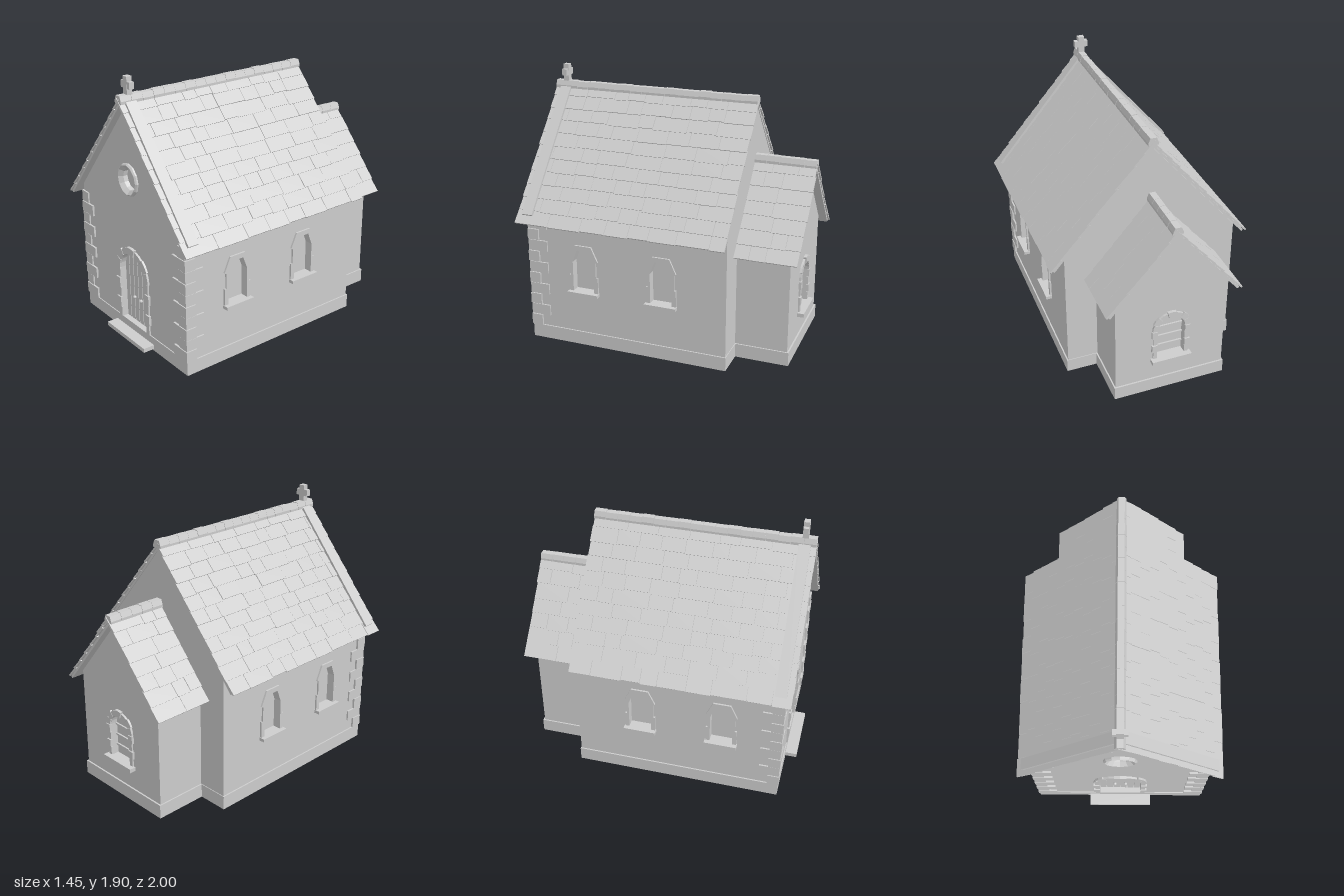
import * as THREE from 'three';
import { mergeGeometries } from 'three/addons/utils/BufferGeometryUtils.js';

const stone = new THREE.MeshStandardMaterial({ color: 0xcccccc });
stone.name = 'pale stone';

const SLOPE = Math.atan(1.18), C = Math.cos(SLOPE), S = Math.sin(SLOPE);
const THICK = 0.07;

let seed = 7;
const rand = () => (seed = (seed * 16807) % 2147483647) / 2147483647;

const toShape = (pts) => new THREE.Shape(pts.map(([x, y]) => new THREE.Vector2(x, y)));
const mirrorX = (pts) => [...pts, ...pts.map(([x, y]) => [-x, y]).reverse()];

function add(parent, name, geometry) {
  const mesh = new THREE.Mesh(geometry, stone);
  mesh.name = name;
  parent.add(mesh);
  return mesh;
}

// Box given by its limits on each axis
function box(x0, x1, y0, y1, z0, z1) {
  return new THREE.BoxGeometry(x1 - x0, y1 - y0, z1 - z0)
    .translate((x0 + x1) / 2, (y0 + y1) / 2, (z0 + z1) / 2);
}

// Flat outline with holes, extruded from z0 to z1
function slab(pts, z0, z1, holes = []) {
  const shape = toShape(pts);
  shape.holes = holes.map((h) => new THREE.Path(h.map(([x, y]) => new THREE.Vector2(x, y))));
  return new THREE.ExtrudeGeometry(shape, { depth: z1 - z0, bevelEnabled: false }).translate(0, 0, z0);
}

function archPoints(hw, bottom, spring, n = 12) {
  const pts = [[-hw, bottom], [hw, bottom]];
  for (let i = 0; i <= n; i++) {
    const a = (i / n) * Math.PI;
    pts.push([hw * Math.cos(a), spring + hw * Math.sin(a)]);
  }
  return pts;
}

function circlePoints(r, cy, n = 12) {
  return Array.from({ length: n }, (_, i) => {
    const a = (i / n) * Math.PI * 2;
    return [r * Math.cos(a), cy + r * Math.sin(a)];
  });
}

// Wall frame: local x runs along the wall, local z = 0 is its outer face
function wallGroup(parent, name, x, z, rotY) {
  const g = new THREE.Group();
  g.name = name;
  g.position.set(x, 0, z);
  g.rotation.y = rotY;
  parent.add(g);
  return g;
}

const gable = (hw, apex) => [[-hw, 0.02], [hw, 0.02], [hw, apex - hw * 1.18], [0, apex], [-hw, apex - hw * 1.18]];

// Stone arch with alternating jamb blocks around an opening
function archSurround(wall, hw, bottom, spring, width, blocks) {
  const parts = [], n = 7;
  for (let i = 0; i < n; i++) {
    const a0 = (i / n) * Math.PI + 0.012, a1 = ((i + 1) / n) * Math.PI - 0.012;
    const r = hw + width + (i % 2 ? 0.01 : 0);
    const p = (rad, a) => [rad * Math.cos(a), spring + rad * Math.sin(a)];
    const am = (a0 + a1) / 2;
    parts.push(slab([p(hw, a0), p(r, a0), p(r, am), p(r, a1), p(hw, a1), p(hw, am)], -0.05, i === 3 ? 0.022 : 0.015));
  }
  add(wall, 'archStones', mergeGeometries(parts));
  const h = (spring - bottom) / blocks, jambs = [];
  for (let i = 0; i < blocks; i++) {
    const w = width * (i % 2 ? 1.1 : 0.8), y = bottom + i * h;
    for (const s of [-1, 1]) {
      jambs.push(box(Math.min(s * hw, s * (hw + w)), Math.max(s * hw, s * (hw + w)),
        y + 0.002, y + h - 0.002, -0.05, i % 2 ? 0.018 : 0.012));
    }
  }
  add(wall, 'jambStones', mergeGeometries(jambs));
}

// Small window with a chamfered head
const headOpening = mirrorX([[0.08, 0.42], [0.08, 0.64], [0.045, 0.73]]);
const headFrame = mirrorX([[0.11, 0.405], [0.11, 0.54], [0.096, 0.54], [0.096, 0.65], [0.11, 0.66], [0.062, 0.765]]);

function sideWindow(wall, u) {
  const g = new THREE.Group();
  g.name = 'sideWindow';
  g.position.x = u;
  add(g, 'windowFrame', slab(headFrame, -0.03, 0.013, [headOpening]));
  add(g, 'windowPane', slab(headOpening, -0.055, -0.047));
  add(g, 'windowSill', box(-0.115, 0.115, 0.397, 0.42, -0.03, 0.045));
  wall.add(g);
}

// Slated pitched roof with ridge tiles
function roof(parent, name, ridge, halfSpan, z0, z1, rows) {
  const g = new THREE.Group();
  g.name = name;
  parent.add(g);
  const length = halfSpan / C, step = length / rows;
  // Box on a slope: u down the slope, n outward from its surface
  const place = (s, geo, u, n, z, tilt = 0) => geo.rotateZ(-s * (SLOPE - tilt))
    .translate(s * (u * C + n * S), ridge - u * S + n * C, z);
  for (const s of [-1, 1]) {
    add(g, 'roofDeck', place(s, new THREE.BoxGeometry(length - 0.01, 0.016, z1 - z0 - 0.012),
      (length - 0.01) / 2, -0.024, (z0 + z1) / 2));
    const slates = [];
    for (let r = 0; r < rows; r++) {
      const low = (r + 1) * step;
      let z = z0 - rand() * 0.008;
      while (z < z1 - 0.01) {
        let end = z + 0.1 + rand() * 0.16;
        if (end > z1 - 0.06) end = z1 + rand() * 0.005;
        const len = step * 1.12, u = low - len / 2 + (rand() - 0.5) * 0.01;
        slates.push(place(s, new THREE.BoxGeometry(len, 0.012, end - z - 0.003),
          u, -0.009 + rand() * 0.003, (z + end) / 2, 0.06));
        z = end;
      }
    }
    add(g, 'slates', mergeGeometries(slates));
  }
  const tiles = [], n = Math.round((z1 - z0) / 0.085), d = (z1 - z0) / n;
  for (let i = 0; i < n; i++) {
    const lift = rand() * 0.005;
    tiles.push(slab(mirrorX([[0.036, ridge - 0.03], [0.036, ridge - 0.015 + lift], [0.022, ridge + 0.02 + lift]]),
      z0 + i * d + 0.001, z0 + (i + 1) * d - 0.001));
  }
  add(g, 'ridgeTiles', mergeGeometries(tiles));
  return { g, place };
}

export function createModel() {
  const model = new THREE.Group();
  model.name = 'chapel';

  // Plinth rings
  add(model, 'navePlinth', mergeGeometries([
    box(-0.63, 0.63, 0, 0.1, 0.83, 0.917), box(-0.63, 0.63, 0, 0.1, -0.56, -0.47),
    box(-0.63, -0.54, 0, 0.1, -0.47, 0.83), box(0.54, 0.63, 0, 0.1, -0.47, 0.83)]));
  add(model, 'chancelPlinth', mergeGeometries([
    box(-0.41, 0.41, 0, 0.1, -0.942, -0.86),
    box(-0.41, -0.33, 0, 0.1, -0.86, -0.56), box(0.33, 0.41, 0, 0.1, -0.86, -0.56)]));

  // Front gable with door and round window
  const front = wallGroup(model, 'frontGable', 0, 0.91, 0);
  add(front, 'frontWall', slab(gable(0.62, 1.71), -THICK, 0,
    [archPoints(0.155, 0.1, 0.49), circlePoints(0.085, 1.2)]));
  archSurround(front, 0.155, 0.1, 0.49, 0.043, 5);

  // Plank double door
  const edges = [-0.155, -0.105, -0.052, 0, 0.052, 0.105, 0.155], planks = [];
  for (let i = 0; i < 6; i++) {
    const a = edges[i] + 0.003, b = edges[i + 1] - 0.003;
    const top = (x) => [x, 0.49 + Math.sqrt(0.155 ** 2 - x * x)];
    planks.push(slab([[a, 0.1], [b, 0.1], top(b), top((a + b) / 2), top(a)], -0.05, -0.035));
  }
  add(front, 'doorPlanks', mergeGeometries(planks));
  add(front, 'doorBacking', slab(archPoints(0.155, 0.1, 0.49), -0.058, -0.05));
  for (const s of [-1, 1]) {
    add(front, 'doorKnob', new THREE.SphereGeometry(0.013, 10, 8)).position.set(s * 0.04, 0.29, -0.026);
  }
  add(front, 'doorStep', box(-0.235, 0.235, 0.015, 0.045, 0, 0.09));

  // Twelve-sided window ring
  const profile = [[0.078, -0.05], [0.115, -0.05], [0.115, 0.012], [0.105, 0.022], [0.078, -0.005], [0.078, -0.05]];
  const ring = new THREE.LatheGeometry(profile.map(([x, y]) => new THREE.Vector2(x, y)), 12).toNonIndexed();
  ring.computeVertexNormals();
  add(front, 'roundWindowRing', ring.rotateX(Math.PI / 2).translate(0, 1.2, 0));
  add(front, 'roundWindowPane', slab(circlePoints(0.082, 1.2), -0.045, -0.037));

  // Nave back and side walls
  const back = wallGroup(model, 'naveBack', 0, -0.555, Math.PI);
  add(back, 'naveBackWall', slab(gable(0.62, 1.71), -THICK, 0));
  for (const s of [-1, 1]) {
    const side = wallGroup(model, s > 0 ? 'leftSide' : 'rightSide', s * 0.62, 0, s * Math.PI / 2);
    const us = [0.495, -0.09].map((z) => -s * z);
    const a = Math.min(-s * 0.84, s * 0.485), b = Math.max(-s * 0.84, s * 0.485);
    add(side, 'sideWall', slab([[a, 0.02], [b, 0.02], [b, 0.97], [a, 0.97]], -THICK, 0,
      us.map((u) => headOpening.map(([x, y]) => [x + u, y]))));
    us.forEach((u) => sideWindow(side, u));
    add(model, 'chancelSideWall', box(s > 0 ? 0.33 : -0.4, s > 0 ? 0.4 : -0.33, 0.02, 0.82, -0.86, -0.555));
  }

  // Corner stones, long and short by turns
  const quoins = [];
  for (let i = 0; i < 10; i++) {
    const y = 0.1 + i * 0.083, long = i % 2 === 0;
    const wx = long ? 0.145 : 0.085, wz = long ? 0.08 : 0.145, e = long ? 0 : 0.003;
    for (const s of [-1, 1]) {
      const o = s * (0.635 - e), q = s * (0.635 - wx);
      quoins.push(box(Math.min(o, q), Math.max(o, q), y + 0.002, y + 0.081, 0.85, 0.924 - e));
      const p = s * 0.56;
      quoins.push(box(Math.min(o, p), Math.max(o, p), y + 0.002, y + 0.081, 0.92 - wz, 0.86));
    }
  }
  add(model, 'cornerStones', mergeGeometries(quoins));

  // Chancel end wall with its arched window
  const end = wallGroup(model, 'chancelEnd', 0, -0.93, Math.PI);
  const opening = archPoints(0.1, 0.28, 0.52);
  add(end, 'chancelEndWall', slab(gable(0.4, 1.3), -THICK, 0, [opening]));
  archSurround(end, 0.1, 0.28, 0.52, 0.036, 4);
  add(end, 'endWindowPane', slab(opening, -0.055, -0.047));
  for (const y of [0.35, 0.43, 0.51]) add(end, 'windowBar', box(-0.1, 0.1, y - 0.006, y + 0.006, -0.05, -0.035));
  add(end, 'endWindowSill', box(-0.145, 0.145, 0.252, 0.28, -0.04, 0.048));

  // Roofs
  const nave = roof(model, 'naveRoof', 1.762, 0.72, -0.565, 0.968, 11);
  roof(model, 'chancelRoof', 1.352, 0.485, -0.993, -0.555, 7);

  // Raised coping near the front edge
  for (const s of [-1, 1]) {
    add(nave.g, 'roofCoping', nave.place(s, new THREE.BoxGeometry(1.05, 0.028, 0.08), 0.525, 0.002, 0.89));
  }

  // Gable cross
  add(model, 'gableCross', mergeGeometries([
    box(-0.023, 0.023, 1.74, 1.905, 0.87, 0.91), box(-0.05, 0.05, 1.825, 1.872, 0.872, 0.908)]));

  return model;
}
